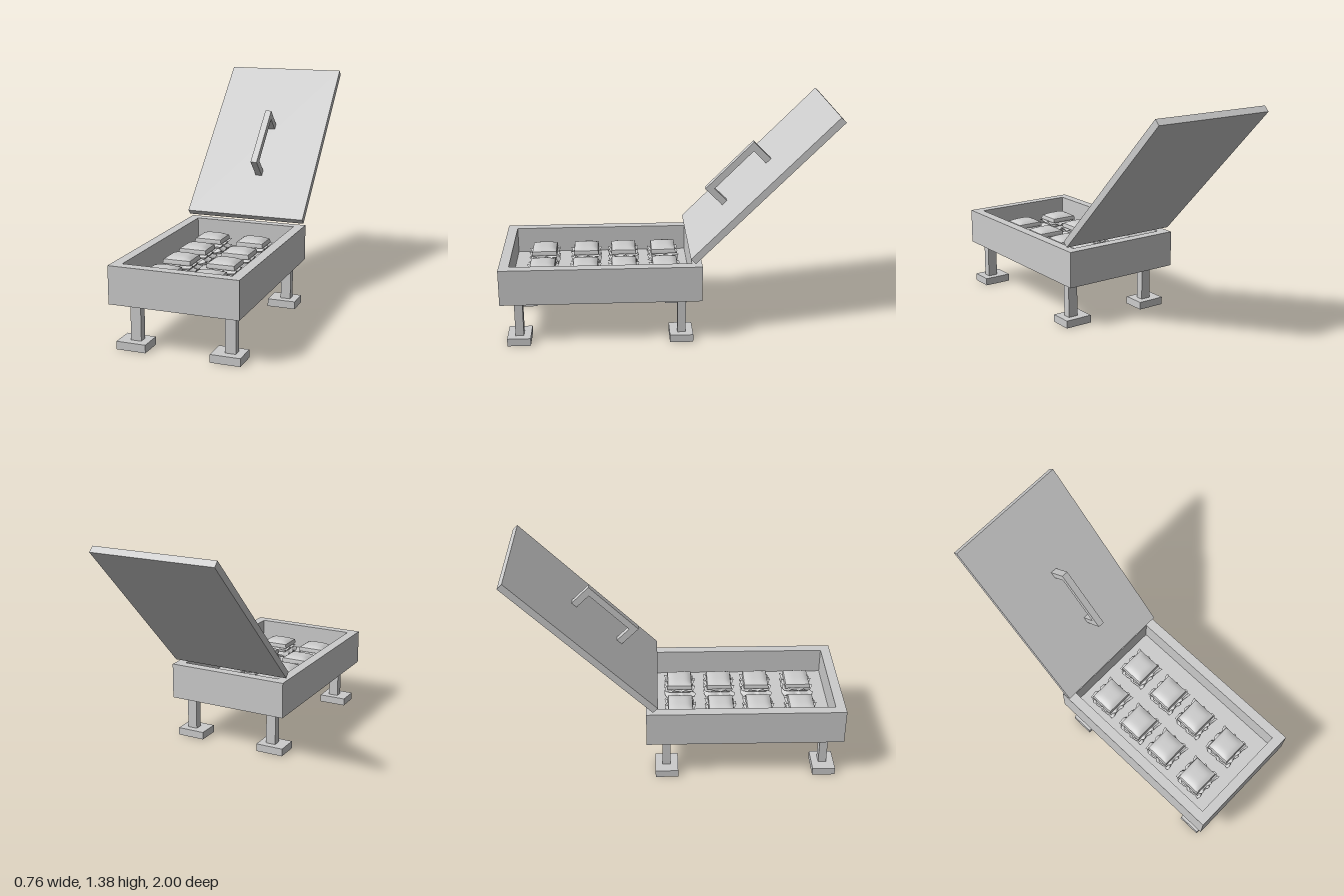
import * as THREE from 'three';
import { RoundedBoxGeometry } from 'three/addons/geometries/RoundedBoxGeometry.js';

const grey = new THREE.MeshStandardMaterial({ color: 0xcccccc, side: THREE.DoubleSide });
grey.name = 'plain grey';

function add(parent, name, geometry, x = 0, y = 0, z = 0) {
  const mesh = new THREE.Mesh(geometry, grey);
  mesh.name = name;
  mesh.position.set(x, y, z);
  parent.add(mesh);
  return mesh;
}
const box = (w, h, d) => new THREE.BoxGeometry(w, h, d);

// Puffed slice: a rounded box whose top swells towards the middle
function breadGeometry(w, h, d, puff) {
  const g = new THREE.BoxGeometry(w, h, d, 10, 3, 10);
  const p = g.attributes.position;
  for (let i = 0; i < p.count; i++) {
    const u = (2 * p.getX(i)) / w, v = (2 * p.getZ(i)) / d, t = p.getY(i) / h + 0.5;
    const dome = (1 - u ** 4) * (1 - v ** 4);
    p.setY(i, p.getY(i) + t * puff * dome);
    const pinch = 1 - 0.05 * t * t;
    p.setX(i, p.getX(i) * pinch);
    p.setZ(i, p.getZ(i) * pinch);
  }
  g.computeVertexNormals();
  return g;
}

// Ruffled leaf: a square sheet with a wavy, drooping rim
function leafGeometry(size, phase, droop) {
  const g = new THREE.PlaneGeometry(size, size, 16, 16).rotateX(-Math.PI / 2);
  const p = g.attributes.position;
  for (let i = 0; i < p.count; i++) {
    const x = p.getX(i), z = p.getZ(i);
    const edge = Math.max(Math.abs(x), Math.abs(z)) / (size / 2);
    const rim = Math.max(0, (edge - 0.75) / 0.25);
    const a = Math.atan2(z, x);
    const wave = Math.sin(a * 9 + phase) + 0.5 * Math.sin(a * 17 + phase * 2);
    p.setX(i, x * (1 + 0.07 * rim * wave));
    p.setZ(i, z * (1 + 0.07 * rim * wave));
    p.setY(i, rim * (0.009 * wave - droop));
  }
  g.computeVertexNormals();
  return g;
}

export function createModel() {
  const model = new THREE.Group();
  model.name = 'grill';

  // Open tray: four walls and a floor
  const tray = new THREE.Group();
  tray.name = 'tray';
  model.add(tray);
  const outline = new THREE.Shape([[-0.38, -0.2], [0.38, -0.2], [0.38, 1], [-0.38, 1]]
    .map(([x, z]) => new THREE.Vector2(x, -z)));
  outline.holes.push(new THREE.Path([[-0.32, -0.14], [0.32, -0.14], [0.32, 0.94], [-0.32, 0.94]]
    .map(([x, z]) => new THREE.Vector2(x, -z))));
  const walls = new THREE.ExtrudeGeometry(outline, { depth: 0.22, bevelEnabled: false });
  add(tray, 'trayWalls', walls.rotateX(-Math.PI / 2), 0, 0.27, 0);
  add(tray, 'trayFloor', box(0.64, 0.06, 1.08), 0, 0.3, 0.4);

  // Legs standing on flat feet
  for (const [legX, footX] of [[-0.257, -0.268], [0.3, 0.287]]) {
    for (const z of [0.895, -0.08]) {
      add(model, 'leg', box(0.062, 0.23, 0.05), legX, 0.16, z);
      add(model, 'foot', box(0.175, 0.047, 0.14), footX, 0.0235, z + 0.002);
    }
  }

  // Raised lid with its handle, tilted back by 45 degrees
  const lid = new THREE.Group();
  lid.name = 'lid';
  lid.position.set(0, 0.945, -0.565);
  lid.rotation.x = -Math.PI / 4;
  model.add(lid);
  add(lid, 'lidPanel', box(0.762, 1.19, 0.042), -0.002, 0, 0);
  add(lid, 'handleBar', box(0.04, 0.41, 0.04), 0.02, -0.085, 0.149);
  for (const side of [-1, 1]) {
    add(lid, 'handlePost', box(0.04, 0.04, 0.11), 0.02, -0.085 + side * 0.185, 0.075);
  }

  // Sandwiches in two rows of four
  const lowerBread = new RoundedBoxGeometry(0.165, 0.026, 0.15, 2, 0.01);
  const filling = new RoundedBoxGeometry(0.155, 0.022, 0.145, 2, 0.008);
  const upperBread = breadGeometry(0.172, 0.026, 0.156, 0.018);
  const lowerLeaf = leafGeometry(0.185, 0.6, 0.02);
  const upperLeaf = leafGeometry(0.18, 2.1, 0.008);
  for (const x of [-0.162, 0.108]) {
    for (const z of [0.01, 0.26, 0.495, 0.757]) {
      const sandwich = new THREE.Group();
      sandwich.name = 'sandwich';
      sandwich.position.set(x, 0.33, z);
      model.add(sandwich);
      add(sandwich, 'lowerBread', lowerBread, 0, 0.013, 0);
      add(sandwich, 'lowerLeaf', lowerLeaf, 0, 0.037, 0);
      add(sandwich, 'filling', filling, 0, 0.046, 0);
      add(sandwich, 'upperLeaf', upperLeaf, 0, 0.062, 0);
      add(sandwich, 'upperBread', upperBread, 0, 0.079, 0);
    }
  }
  return model;
}
